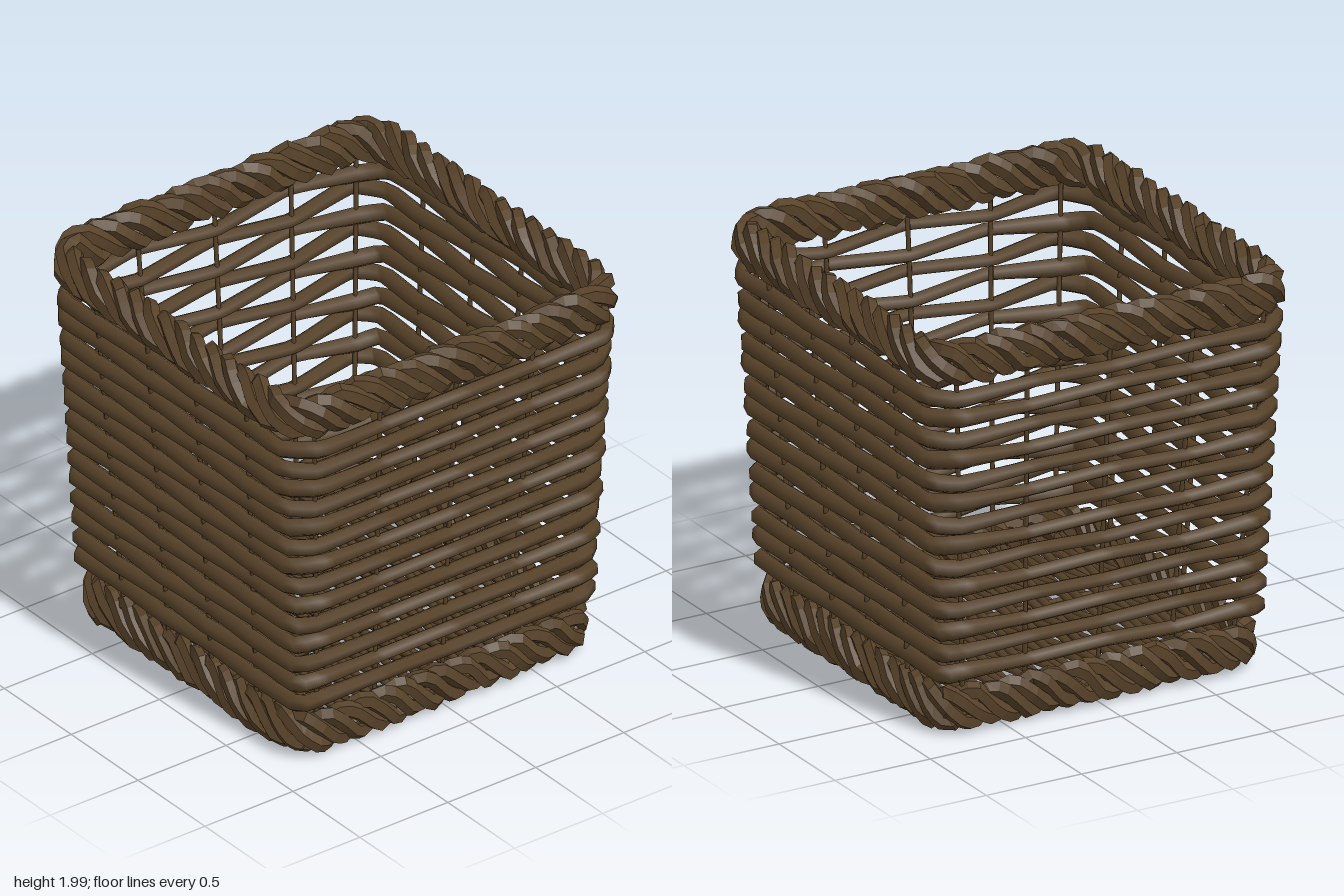
import * as THREE from 'three';

const V = (x, y, z) => new THREE.Vector3(x, y, z);

// Small seeded generator for hand-made irregularity
let seed = 7;
const jitter = (a) => {
  seed = (seed * 16807) % 2147483647;
  return (seed / 2147483647 - 0.5) * 2 * a;
};

// Half width of the flared walls at height y
const halfWidth = (y) => 0.83 + 0.095 * (y - 0.31) / 1.39;

// Tube whose cross-section is scaled by flat (horizontally) and tall(centre) (vertically)
function cane(points, radius, closed, segments, sides, flat = 1, tall = () => 1) {
  const curve = new THREE.CatmullRomCurve3(points, closed, 'catmullrom', 0.15);
  const geo = new THREE.TubeGeometry(curve, segments, radius, sides, closed);
  const pos = geo.attributes.position, v = V(0, 0, 0);
  for (let i = 0; i < pos.count; i++) {
    const c = curve.getPointAt(Math.floor(i / (sides + 1)) / segments % (closed ? 1 : 2));
    v.fromBufferAttribute(pos, i).sub(c).multiply(V(flat, tall(c), flat)).add(c);
    pos.setXYZ(i, v.x, v.y, v.z);
  }
  return geo;
}

// Point and outward normal on a rounded square, t in 0..1, counterclockwise from above
function ringPoint(t, half, r) {
  const straight = 2 * (half - r), arc = r * Math.PI / 2, side = straight + arc;
  const q = (t % 1) * 4, k = Math.floor(q), d = (q - k) * side;
  const p = V(0, 0, half), n = V(0, 0, 1);
  if (d < straight) p.x = d - straight / 2;
  else {
    const a = (d - straight) / r;
    n.set(Math.sin(a), 0, Math.cos(a));
    p.set(half - r + n.x * r, 0, half - r + n.z * r);
  }
  // Start each side at its left end
  if (d < straight) p.x = d - (half - r);
  const up = V(0, 1, 0);
  return { p: p.applyAxisAngle(up, k * Math.PI / 2), n: n.applyAxisAngle(up, k * Math.PI / 2) };
}

export function createModel() {
  const model = new THREE.Group();
  const wicker = new THREE.MeshStandardMaterial({ color: 0x574229 });
  wicker.name = 'darkWicker';
  const add = (parent, name, geo) => {
    const mesh = new THREE.Mesh(geo, wicker);
    mesh.name = name;
    parent.add(mesh);
  };
  const group = (name) => {
    const g = new THREE.Group();
    g.name = name;
    model.add(g);
    return g;
  };

  // Narrow twisted borders at the top and the base, faceted
  const braid = (name, y, half, depth, flat) => {
    const g = group(name), turns = 15, strands = 4, steps = turns * 6;
    for (let s = 0; s < strands; s++) {
      const pts = [];
      for (let i = 0; i < steps; i++) {
        const { p, n } = ringPoint(i / steps, half, 0.14);
        const a = (s / strands - turns * i / steps) * Math.PI * 2;
        p.addScaledVector(n, Math.cos(a) * depth + jitter(0.006));
        p.y = y + Math.sin(a) * 0.078 + jitter(0.012);
        pts.push(p);
      }
      const geo = cane(pts, 0.046, true, steps * 2, 5, flat).toNonIndexed();
      geo.computeVertexNormals();
      add(g, name + 'Strand', geo);
    }
  };
  braid('topBraid', 1.868, 0.905, 0.04, 0.85);
  braid('baseBraid', 0.132, 0.824, 0.022, 0.7);

  // Upright stakes: four on the front and back, five on each side
  const frontStakes = [-0.53, -0.17, 0.17, 0.53];
  const sideStakes = [-0.76, -0.41, 0, 0.41, 0.76];
  const stakes = group('stakes');
  const wallPoint = (wall, along, out, y) =>
    V(along, y, out).applyAxisAngle(V(0, 1, 0), wall * Math.PI / 2);
  for (let w = 0; w < 4; w++) {
    for (const a of w % 2 ? sideStakes : frontStakes) {
      const inset = w % 2 ? 0.025 : 0;
      const at = (y) => wallPoint(w, a * halfWidth(y) / halfWidth(1), halfWidth(y) - inset, y);
      add(stakes, 'stake', cane([at(0.09), at(1), at(1.87)], 0.012, false, 4, 5));
    }
  }

  // Horizontal weavers passing alternately outside and inside the stakes, slimmer mid-side
  const weavers = group('wallWeavers');
  const slim = (c) => Math.abs(c.z) > Math.abs(c.x) ? 1
    : THREE.MathUtils.mapLinear(THREE.MathUtils.clamp(Math.abs(c.z), 0.5, 0.78), 0.5, 0.78, 0.72, 1);
  for (let row = 0; row < 14; row++) {
    const y = 0.31 + row * 0.107, h = halfWidth(y), pts = [];
    let n = row;
    for (let w = 0; w < 4; w++) {
      const isSide = w % 2 === 1;
      const sway = isSide ? 0.02 : 0.012, wiggle = isSide ? 0.015 : 0.003;
      if (!isSide) pts.push(wallPoint(w, -0.81, h, y));
      for (const a of isSide ? sideStakes : frontStakes) {
        const s = n++ % 2 ? 1 : -1;
        pts.push(wallPoint(w, a * h / halfWidth(1), h + s * sway, y + s * wiggle + jitter(0.004)));
      }
      if (!isSide) pts.push(wallPoint(w, 0.81, h, y));
    }
    add(weavers, 'weaver', cane(pts, 0.046, true, 132, 6, 0.82, slim));
  }

  // Floor ribs with pairs of thin weavers crossing over and under them
  const floor = group('floor');
  const ribs = [-0.78, -0.52, -0.17, 0.17, 0.52, 0.78], floorY = 0.08;
  for (const x of ribs)
    add(floor, 'floorRib', cane([V(x, floorY, -0.81), V(x, floorY, 0.81)], 0.012, false, 2, 5));
  for (let i = 0; i < 20; i++) {
    for (const s of [-1, 1]) {
      const pts = ribs.map((x, k) => {
        const side = (k + i) % 2 ? s : -s;
        return V(x * 1.04, floorY + side * 0.025, -0.765 + i * 0.0805 + s * 0.015 + jitter(0.012));
      });
      add(floor, 'floorWeaver', cane(pts, 0.02, false, 20, 5));
    }
  }
  return model;
}
